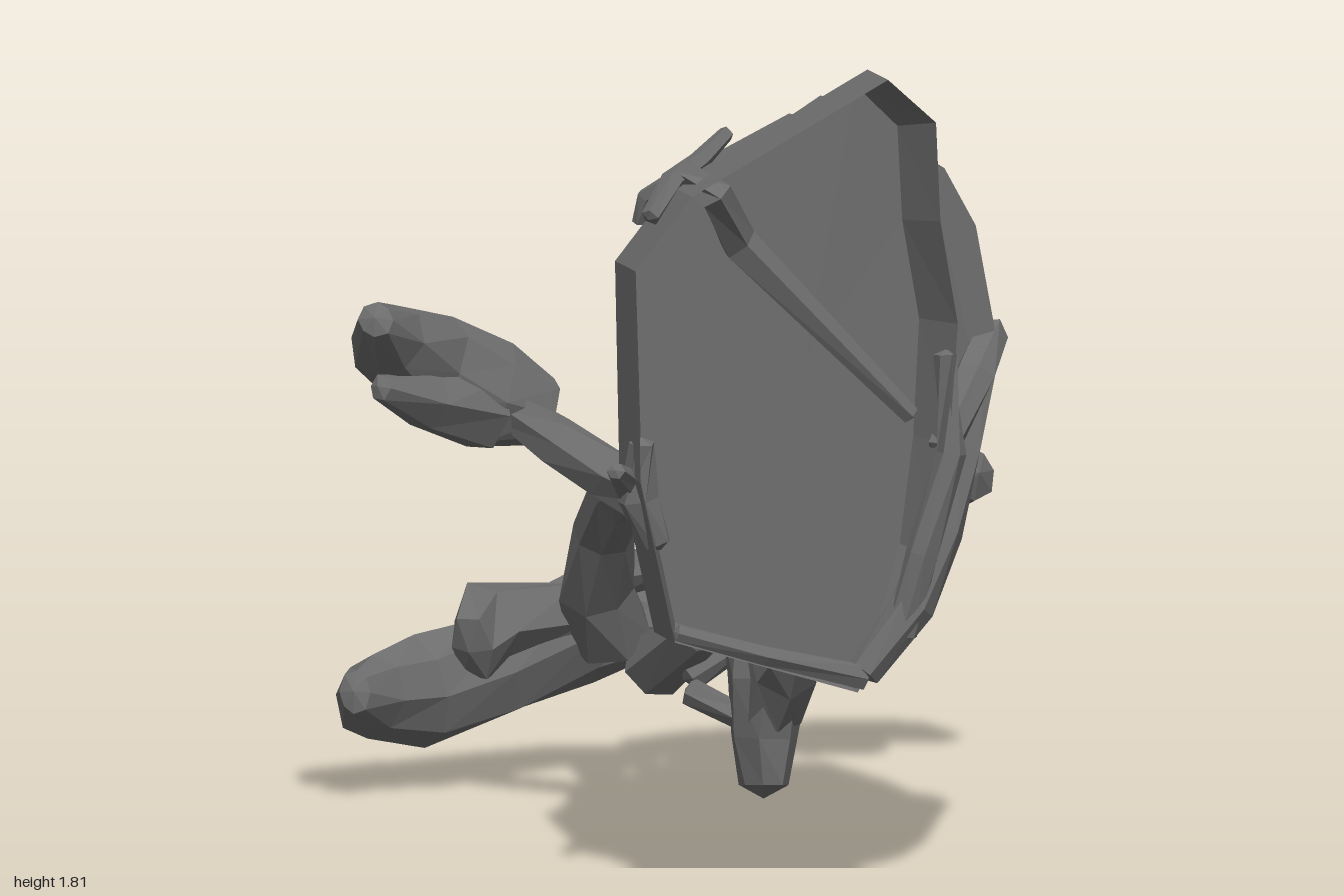
import * as THREE from 'three';

const stone = new THREE.MeshStandardMaterial({ color: 0x6c6c6c, flatShading: true });
stone.name = 'grey stone';

function addMesh(parent, name, geometry) {
  const mesh = new THREE.Mesh(geometry, stone);
  mesh.name = name;
  parent.add(mesh);
}

function indexed(pos, idx) {
  const g = new THREE.BufferGeometry();
  g.setAttribute('position', new THREE.Float32BufferAttribute(pos, 3));
  g.setIndex(idx);
  g.computeVertexNormals();
  return g;
}

// Faceted limb through points [x, y, z, side radius, other radius]
function limb(points, sides = 6, ref = new THREE.Vector3(0, 1, 0), wobble = 0.08) {
  const centres = points.map(p => new THREE.Vector3(p[0], p[1], p[2]));
  const pos = [], idx = [], last = points.length - 1;
  const tangents = centres.map((c, i) => centres[Math.min(i + 1, last)].clone()
    .sub(centres[Math.max(i - 1, 0)]).normalize());
  points.forEach((p, i) => {
    const side = tangents[i].clone().cross(ref).normalize();
    const up = tangents[i].clone().cross(side);
    for (let j = 0; j < sides; j++) {
      const a = (j / sides) * Math.PI * 2;
      const k = 1 + wobble * Math.sin(i * 2.3 + j * 1.7);
      const v = centres[i].clone()
        .addScaledVector(side, Math.cos(a) * p[3] * k)
        .addScaledVector(up, Math.sin(a) * (p[4] ?? p[3]) * k);
      pos.push(v.x, v.y, v.z);
    }
  });
  // blunt tips
  const start = centres[0].clone().addScaledVector(tangents[0], -points[0][3] * 0.4);
  const end = centres[last].clone().addScaledVector(tangents[last], points[last][3] * 0.4);
  pos.push(start.x, start.y, start.z, end.x, end.y, end.z);
  const s = points.length * sides;
  for (let j = 0; j < sides; j++) {
    const n = (j + 1) % sides;
    for (let i = 0; i < last; i++) {
      const a = i * sides + j, b = i * sides + n;
      idx.push(a, b, a + sides, b, b + sides, a + sides);
    }
    idx.push(s, n, j, s + 1, last * sides + j, last * sides + n);
  }
  return indexed(pos, idx);
}

// Rock slab from a clockwise outline: each ring rule maps [x, y] to [x, y, z], back to front
function slab(outline, rings) {
  const n = outline.length, pos = [], idx = [];
  rings.forEach(ring => outline.forEach(([x, y]) => pos.push(...ring(x, y))));
  const mean = r => [0, 1, 2].map(k => {
    let sum = 0;
    for (let j = 0; j < n; j++) sum += pos[(r * n + j) * 3 + k];
    return sum / n;
  });
  const last = rings.length - 1, c = rings.length * n;
  pos.push(...mean(0), ...mean(last));
  for (let j = 0; j < n; j++) {
    const m = (j + 1) % n;
    for (let r = 0; r < last; r++) {
      const a = r * n + j, b = r * n + m;
      idx.push(a, a + n, b, b, a + n, b + n);
    }
    idx.push(c, j, m, c + 1, last * n + m, last * n + j);
  }
  return indexed(pos, idx);
}

export function createModel() {
  const model = new THREE.Group();
  model.name = 'cliffTree';
  const lerp = THREE.MathUtils.lerp;
  const rise = (y, from = 0.5, to = 1.65) => THREE.MathUtils.clamp((y - from) / (to - from), 0, 1);

  // Layered rock, hollowed at the front
  const rock = new THREE.Group();
  rock.name = 'rock';
  model.add(rock);
  addMesh(rock, 'frontSlab', slab(
    [[-0.48, 1.42], [-0.35, 1.58], [0.1, 1.82], [0.21, 1.72], [0.22, 1.5], [0.26, 1.27],
      [0.24, 1.0], [0.2, 0.75], [0.03, 0.46], [-0.39, 0.59], [-0.47, 0.95]],
    [(x, y) => [lerp(-0.11, x, 0.97), lerp(1.12, y, 0.96), 0.77], (x, y) => [x, y, 0.8],
      (x, y) => [x, y, 0.957],
      (x, y) => [lerp(-0.11, x, 0.88), lerp(1.12, y, 0.95), lerp(0.85, 0.79, rise(y))]]));
  addMesh(rock, 'fillerSlab', slab(
    [[-0.4, 1.3], [-0.25, 1.5], [0.05, 1.63], [0.27, 1.5], [0.34, 1.2], [0.24, 0.75],
      [0.05, 0.5], [-0.32, 0.56], [-0.42, 0.95]],
    [(x, y) => [x, y, 0.68], (x, y) => [x, y, 0.775]]));
  addMesh(rock, 'middleSlab', slab(
    [[-0.38, 1.0], [-0.36, 1.32], [-0.2, 1.56], [0.08, 1.72], [0.3, 1.58], [0.37, 1.45],
      [0.41, 1.22], [0.33, 0.88], [0.12, 0.52], [-0.3, 0.56]],
    [(x, y) => [x, y, lerp(0.6, 0.51, rise(y)) + 0.1 * Math.abs(x - 0.08)],
      (x, y) => [x, y, lerp(0.78, 0.72, rise(y))]]));
  addMesh(rock, 'backSlab', slab(
    [[-0.36, 1.12], [-0.34, 1.4], [-0.18, 1.57], [0.05, 1.66], [0.3, 1.62], [0.36, 1.42],
      [0.36, 1.15], [0.28, 0.85], [0.08, 0.55], [-0.24, 0.6]],
    [(x, y) => [x, y - 0.11 * rise(y, 1.3, 1.66), lerp(0.48, 0.29, rise(y, 1.08, 1.64)) + 0.35 * Math.abs(x - 0.05) * rise(y)],
      (x, y) => [x, y, lerp(0.52, 0.37, rise(y)) + 0.25 * Math.abs(x - 0.05) * rise(y)],
      (x, y) => [x, y, lerp(0.64, 0.49, rise(y))]]));

  // Trunk, leaning out from the rock and drooping at its end
  addMesh(model, 'trunk', limb([
    [-0.05, 0.62, 0.55, 0.1, 0.13], [-0.085, 0.63, 0.35, 0.085, 0.115], [-0.11, 0.675, 0.15, 0.08, 0.085],
    [-0.125, 0.745, -0.06, 0.085, 0.078], [-0.1, 0.76, -0.3, 0.055, 0.07], [-0.08, 0.7, -0.5, 0.06, 0.08],
    [-0.07, 0.58, -0.64, 0.065], [-0.05, 0.44, -0.76, 0.085], [0.0, 0.33, -0.83, 0.1]], 7));

  // Branches
  const branches = [
    [[-0.13, 0.75, -0.03, 0.075], [-0.24, 0.81, -0.07, 0.065], [-0.34, 0.88, -0.11, 0.055], [-0.44, 0.95, -0.15, 0.045]],
    [[-0.1, 0.76, -0.34, 0.055], [0.02, 0.73, -0.48, 0.06], [0.14, 0.74, -0.56, 0.07]],
    [[0.25, 0.72, -0.57, 0.09], [0.18, 0.54, -0.57, 0.07], [0.13, 0.36, -0.61, 0.065], [0.08, 0.25, -0.78, 0.07]],
    [[-0.05, 0.46, -0.78, 0.055], [0.12, 0.47, -0.83, 0.045], [0.28, 0.51, -0.86, 0.05]],
    [[0.13, 0.25, -0.66, 0.035], [0.26, 0.33, -0.66, 0.035], [0.34, 0.41, -0.73, 0.04], [0.45, 0.48, -0.79, 0.045]],
    [[0.11, 0.23, -0.58, 0.03], [0.2, 0.18, -0.5, 0.03], [0.31, 0.17, -0.45, 0.02]]];
  branches.forEach(b => addMesh(model, 'branch', limb(b, 6)));

  // Foliage pads, each a bent body with smaller lobes
  const pads = {
    lowFoliage: [
      [[-0.635, 0.25, -0.66, 0.035, 0.05], [-0.57, 0.22, -0.76, 0.085, 0.095], [-0.43, 0.215, -0.85, 0.115, 0.12],
        [-0.25, 0.26, -0.88, 0.115, 0.12], [-0.04, 0.33, -0.9, 0.1, 0.125], [0.12, 0.34, -0.88, 0.07]],
      [[-0.34, 0.32, -0.75, 0.05, 0.08], [-0.28, 0.355, -0.83, 0.1, 0.105], [-0.08, 0.36, -0.87, 0.09, 0.09]]],
    outerFoliage: [
      [[0.27, 0.52, -0.9, 0.07, 0.06], [0.42, 0.535, -0.86, 0.11, 0.11], [0.57, 0.57, -0.82, 0.145, 0.14],
        [0.7, 0.65, -0.745, 0.13, 0.1], [0.765, 0.68, -0.61, 0.07, 0.06]],
      [[0.34, 0.47, -0.8, 0.06], [0.48, 0.48, -0.84, 0.1], [0.62, 0.45, -0.87, 0.08]]],
    upperFoliage: [
      [[0.08, 0.72, -0.64, 0.08, 0.06], [0.2, 0.75, -0.63, 0.145, 0.11], [0.35, 0.81, -0.58, 0.17, 0.14],
        [0.48, 0.84, -0.465, 0.12, 0.13], [0.575, 0.81, -0.385, 0.06, 0.085]],
      [[0.34, 0.86, -0.53, 0.09], [0.39, 0.91, -0.46, 0.075], [0.43, 0.95, -0.4, 0.035]],
      [[0.36, 0.74, -0.7, 0.08], [0.48, 0.74, -0.6, 0.085], [0.57, 0.74, -0.48, 0.05]]],
    sideFoliage: [
      [[-0.34, 0.93, -0.2, 0.07, 0.08], [-0.46, 0.97, -0.195, 0.1, 0.125], [-0.6, 1.04, -0.19, 0.11, 0.115],
        [-0.73, 1.12, -0.1, 0.085, 0.09], [-0.79, 1.185, 0.01, 0.04, 0.04]],
      [[-0.48, 0.94, -0.17, 0.09], [-0.64, 0.98, -0.11, 0.07], [-0.77, 1.03, -0.02, 0.03]],
      [[-0.6, 1.05, -0.22, 0.02], [-0.62, 1.07, -0.3, 0.012]]]
  };
  for (const [name, lobes] of Object.entries(pads)) {
    const pad = new THREE.Group();
    pad.name = name;
    lobes.forEach((lobe, i) => addMesh(pad, i ? 'lobe' : 'body', limb(lobe, i ? 6 : 8)));
    model.add(pad);
  }
  // Hanging foliage with a forward lobe, wide from front to back
  const across = new THREE.Vector3(1, 0, 0);
  addMesh(model, 'hangingFoliage', limb([
    [0.24, 0.035, -0.45, 0.075, 0.05], [0.245, 0.14, -0.465, 0.09, 0.08], [0.255, 0.27, -0.47, 0.13, 0.085],
    [0.25, 0.38, -0.5, 0.13, 0.075], [0.2, 0.57, -0.54, 0.08, 0.06]], 7, across));
  addMesh(model, 'hangingLobe', limb([
    [0.25, 0.2, -0.44, 0.08, 0.07], [0.26, 0.305, -0.38, 0.085, 0.08], [0.26, 0.35, -0.3, 0.05, 0.06]], 6, across));

  // Roots gripping the rock
  const roots = [
    [[0.24, 0.98, 0.9, 0.035], [0.34, 1.13, 0.82, 0.045], [0.41, 1.195, 0.7, 0.045], [0.41, 1.13, 0.58, 0.05], [0.32, 1.04, 0.5, 0.055]],
    [[0.38, 1.17, 0.75, 0.045], [0.3, 0.97, 0.83, 0.05], [0.24, 0.8, 0.89, 0.05], [0.17, 0.64, 0.92, 0.05], [0.05, 0.5, 0.93, 0.04]],
    [[0.24, 1.2, 0.93, 0.025], [0.25, 0.98, 0.94, 0.035], [0.18, 0.76, 0.945, 0.035], [0.14, 0.58, 0.93, 0.035]],
    [[0.05, 0.49, 0.94, 0.03], [-0.18, 0.55, 0.95, 0.025], [-0.38, 0.61, 0.94, 0.02]],
    [[-0.07, 0.55, 0.4, 0.06], [0.0, 0.5, 0.6, 0.05], [0.05, 0.49, 0.78, 0.045], [0.1, 0.54, 0.92, 0.035]],
    [[-0.08, 0.69, 0.3, 0.06], [0.08, 0.73, 0.46, 0.06], [0.25, 0.85, 0.52, 0.055], [0.33, 1.05, 0.5, 0.045]],
    [[-0.08, 0.64, 0.38, 0.07], [-0.24, 0.74, 0.51, 0.055], [-0.36, 0.82, 0.64, 0.05], [-0.43, 0.9, 0.8, 0.045], [-0.53, 0.98, 0.97, 0.02]],
    [[-0.45, 1.03, 0.9, 0.03], [-0.45, 0.9, 0.88, 0.05], [-0.41, 0.8, 0.9, 0.03]],
    [[-0.1, 0.67, 0.42, 0.05], [-0.18, 0.85, 0.48, 0.04], [-0.3, 1.05, 0.53, 0.035], [-0.37, 1.15, 0.62, 0.03]]];
  roots.forEach(r => addMesh(model, 'root', limb(r, 6)));

  // Twigs over the rock's upper edge
  const twigs = [
    [[-0.43, 1.53, 0.9, 0.022], [-0.36, 1.6, 0.84, 0.025], [-0.28, 1.63, 0.78, 0.025], [-0.2, 1.68, 0.72, 0.018]],
    [[-0.33, 1.62, 0.82, 0.03], [-0.28, 1.57, 0.9, 0.04], [-0.2, 1.45, 0.82, 0.045], [0.19, 1.05, 0.83, 0.02]],
    [[-0.36, 1.6, 0.84, 0.02], [-0.41, 1.56, 0.8, 0.02], [-0.42, 1.5, 0.78, 0.015]]];
  twigs.forEach(t => addMesh(model, 'twig', limb(t, 5)));

  return model;
}
